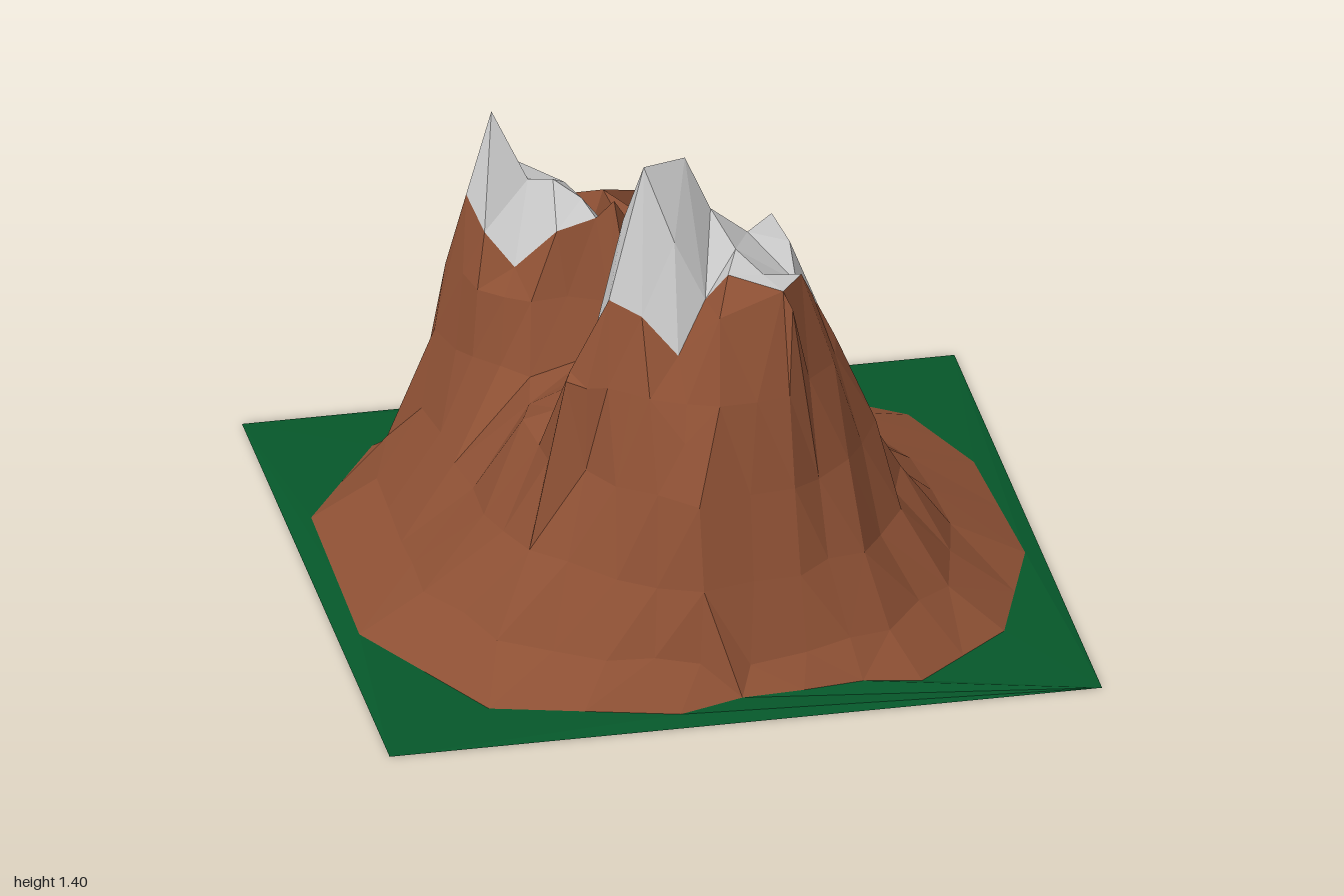
import * as THREE from 'three';

// Contour loops as flat x, z lists; each climbs to a height
const BASE = [-.93, -.4, -.68, -.78, -.2, -.95, .06, -.85, .22, -.91, .49, -.88, .8, -.66, .92, -.35, .95, .2,
  .8, .64, .52, .88, .18, .92, -.17, .94, -.68, .8, -.94, .3];
const FOOT = [-.76, 0, -.76, .3, -.62, .62, -.35, .8, -.1, .87, .2, .86, .45, .78, .66, .56, .74, .2, .71, -.2,
  .6, -.5, .42, -.72, .2, -.8, .05, -.74, -.2, -.86, -.52, -.7, -.75, -.38];
const LOWER = [-.62, -.4, -.6, -.06, -.58, .25, -.5, .48, -.3, .7, -.08, .82, .2, .78, .4, .68, .55, .45, .6, .2,
  .49, -.04, .42, -.2, .32, -.29, .36, -.52, .23, -.67, .05, -.63, -.15, -.77, -.42, -.65];
const MIDDLE = [-.58, -.42, -.51, -.24, -.38, -.09, -.45, .15, -.43, .4, -.28, .59, -.08, .76, .2, .7, .38, .56,
  .5, .35, .46, .15, .36, 0, .2, -.12, .19, -.26, .25, -.46, .14, -.62, .02, -.61, -.12, -.68, -.38, -.6];
const REAR_UPPER = [-.545, -.44, -.49, -.27, -.36, -.17, -.15, -.13, .02, -.19, .07, -.25, .08, -.35, .07, -.5,
  0, -.62, -.15, -.62, -.33, -.59, -.46, -.56];
// This one stays open on the steep west wall
const MAIN_UPPER = [0, .04, .2, .01, .35, .14, .395, .31, .36, .46, .2, .63, 0, .65, -.18, .57, -.28, .48, -.385, .42];

// Jagged snow lines: x, y, z
const MAIN_SNOW = [[-.37, .82, .4], [-.29, .82, .29], [-.285, .67, .18], [-.2, .78, .13], [-.12, .83, .11],
  [.02, .9, .12], [.2, .95, .07], [.3, .92, .16], [.355, .88, .27], [.27, 1.02, .38], [.2, 1.08, .54],
  [.06, 1.11, .47], [0, 1.03, .45], [-.09, .9, .52], [-.18, 1, .46], [-.26, 1.03, .4]];
const REAR_SNOW = [[-.495, .97, -.4], [-.455, .96, -.465], [-.4, .95, -.52], [-.3, .92, -.53], [-.19, .9, -.48],
  [-.14, .87, -.38], [-.12, .89, -.28], [-.17, .96, -.21], [-.28, .93, -.21], [-.39, .81, -.25], [-.46, .89, -.32]];

// Summits, rock knobs and the saddle between the mountains: x, y, z
const MAIN_TOPS = [[-.15, 1.4, .34], [-.02, 1.38, .27], [-.06, 1.35, .235], [.05, 1.22, .28], [.1, 1.14, .38],
  [.16, 1.12, .25], [.23, 1.165, .24], [.27, 1.1, .29], [-.2, 1.22, .3], [-.08, 1.2, .42], [.01, 1.14, .19],
  [.16, 1.1, .47]];
const REAR_TOPS = [[-.42, 1.21, -.42], [-.33, 1.02, -.36], [-.27, 1.04, -.31], [-.36, 1.03, -.48], [-.22, .98, -.4],
  [-.2, 1, -.26]];
const KNOBS = [[-.12, 1.01, -.205], [.02, .84, -.57], [-.09, .89, -.5], [.01, .83, -.44], [-.03, .85, -.28],
  [-.02, .76, -.36], [-.1, .83, -.145], [-.1, .7, .66], [-.06, .68, -.06], [.1, .62, -.08], [-.22, .6, -.08],
  [-.2, .66, .06], [-.36, .6, .2], [.26, .44, -.2], [.45, .2, -.42], [-.7, .2, -.48], [.02, 1.02, .55],
  [.22, 1.04, .575], [.27, 1.08, .45], [.31, .99, .41]];

const pairs = (flat) => Array.from({ length: flat.length / 2 }, (_, i) => [flat[2 * i], flat[2 * i + 1]]);

function seeded(seed) {
  return () => (seed = (seed * 16807) % 2147483647) / 2147483647;
}

// Is the spot inside a loop of [x, z] corners?
function inside(x, z, loop) {
  let hit = false;
  loop.forEach(([ax, az], i) => {
    const [bx, bz] = loop[(i + 1) % loop.length];
    if ((az > z) !== (bz > z) && x < ax + (bx - ax) * (z - az) / (bz - az)) hit = !hit;
  });
  return hit;
}

// Delaunay triangulation of [x, y, z] points seen from above
function triangulate(points) {
  const n = points.length;
  const all = [...points, [-9000, 0, -8000], [9000, 0, -8100], [50, 0, 9000]];
  const make = (a, b, c) => {
    const [ax, , az] = all[a];
    const bx = all[b][0] - ax, bz = all[b][2] - az, cx = all[c][0] - ax, cz = all[c][2] - az;
    const d = 2 * (bx * cz - bz * cx);
    const ux = (cz * (bx * bx + bz * bz) - bz * (cx * cx + cz * cz)) / d;
    const uz = (bx * (cx * cx + cz * cz) - cx * (bx * bx + bz * bz)) / d;
    // corners ordered so the face looks up
    return { v: d < 0 ? [a, b, c] : [a, c, b], x: ax + ux, z: az + uz, r: ux * ux + uz * uz };
  };
  let tris = [make(n, n + 1, n + 2)];
  for (let i = 0; i < n; i++) {
    const edges = new Map();
    tris = tris.filter((t) => {
      if ((all[i][0] - t.x) ** 2 + (all[i][2] - t.z) ** 2 >= t.r) return true;
      t.v.forEach((a, k) => {
        const b = t.v[(k + 1) % 3];
        if (!edges.delete(`${b},${a}`)) edges.set(`${a},${b}`, [a, b]);
      });
      return false;
    });
    for (const [a, b] of edges.values()) tris.push(make(a, b, i));
  }
  return tris.map((t) => t.v).filter((v) => v.every((k) => k < n));
}

export function createModel() {
  const random = seeded(77);
  const points = [[-1, 0, -1], [1, 0, -1], [1, 0, 1], [-1, 0, 1]];

  // Contour corners plus slightly displaced in-between crags
  const addContour = (flat, y, rough, open = false) => {
    const loop = pairs(flat);
    const wobble = () => (random() - .5) * rough;
    loop.forEach(([x, z], i) => {
      points.push([x, y, z]);
      if (open && i === loop.length - 1) return;
      const [nx, nz] = loop[(i + 1) % loop.length];
      points.push([(x + nx) / 2 + wobble(), y + wobble() * 1.5, (z + nz) / 2 + wobble()]);
    });
  };
  addContour(BASE, .012, 0);
  addContour(FOOT, .125, .025);
  addContour(LOWER, .32, .03);
  addContour(MIDDLE, .55, .025);
  addContour(REAR_UPPER, .74, .02);
  addContour(MAIN_UPPER, .8, .02, true);
  points.push(...MAIN_SNOW, ...REAR_SNOW, ...MAIN_TOPS, ...REAR_TOPS, ...KNOBS);

  // Low swell of the ground at the front
  for (const p of points) if (p[1] < .05 && p[2] > .85 && p[2] < .96 && Math.abs(p[0] - .2) < .2) p[1] = .04;

  // Sort the faces into ground, rock and the two snow caps
  const base = pairs(BASE);
  const mainLine = MAIN_SNOW.map(([x, , z]) => [x, z]);
  const rearLine = REAR_SNOW.map(([x, , z]) => [x, z]);
  const parts = { grassGround: [], rockSlopes: [], mainSnowCap: [], rearSnowCap: [] };
  for (const tri of triangulate(points)) {
    const corners = tri.map((k) => points[k]);
    const x = (corners[0][0] + corners[1][0] + corners[2][0]) / 3;
    const z = (corners[0][2] + corners[1][2] + corners[2][2]) / 3;
    const name = !inside(x, z, base) ? 'grassGround'
      : inside(x, z, mainLine) ? 'mainSnowCap'
        : inside(x, z, rearLine) ? 'rearSnowCap' : 'rockSlopes';
    parts[name].push(...corners.flat());
  }

  const material = (name, color) => {
    const m = new THREE.MeshStandardMaterial({ color, flatShading: true, side: THREE.DoubleSide });
    m.name = name;
    return m;
  };
  const snow = material('snow', 0xc8c8c8);
  const materials = {
    grassGround: material('grass', 0x06572a),
    rockSlopes: material('rock', 0x8d5034),
    mainSnowCap: snow,
    rearSnowCap: snow,
  };

  const group = new THREE.Group();
  group.name = 'mountain';
  for (const [name, coords] of Object.entries(parts)) {
    const geometry = new THREE.BufferGeometry();
    geometry.setAttribute('position', new THREE.Float32BufferAttribute(coords, 3));
    geometry.computeVertexNormals();
    const mesh = new THREE.Mesh(geometry, materials[name]);
    mesh.name = name;
    group.add(mesh);
  }
  return group;
}
